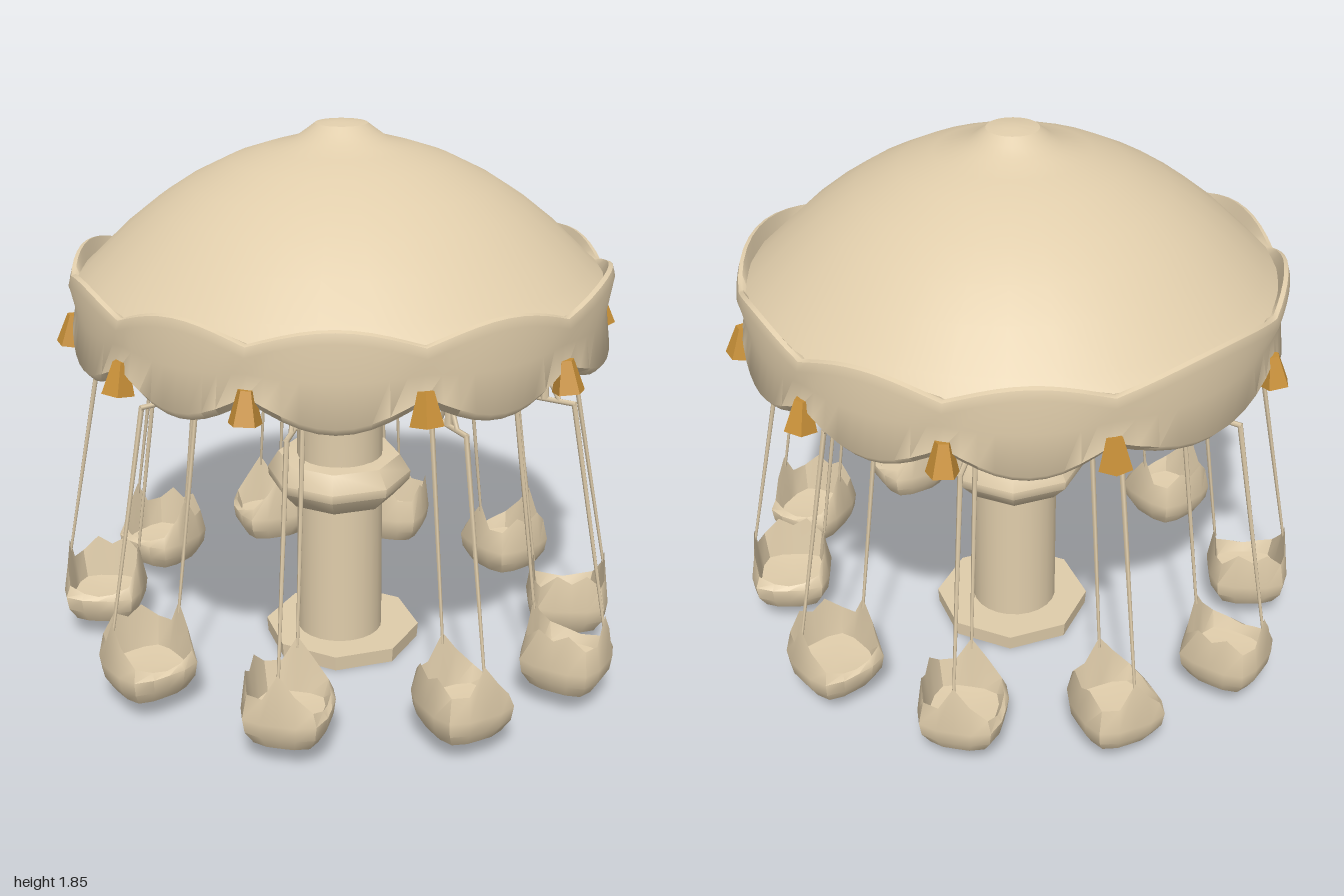
import * as THREE from 'three';
import { toCreasedNormals } from 'three/addons/utils/BufferGeometryUtils.js';

const tan = new THREE.MeshStandardMaterial({ color: 0xe0cdab });
tan.name = 'sandstone';
const amber = new THREE.MeshStandardMaterial({ color: 0xc89038 });
amber.name = 'amber';

const RAD = Math.PI / 180;
const V = (x, y, z) => new THREE.Vector3(x, y, z);

function add(parent, name, geometry, material = tan) {
  const mesh = new THREE.Mesh(geometry, material);
  mesh.name = name;
  parent.add(mesh);
  return mesh;
}

// Skin around the y axis: at(i, angle, j) gives [radius, y] for ring i
function skin(rings, angles, at, crease) {
  const n = angles.length, pos = [], idx = [];
  for (let i = 0; i < rings; i++) {
    angles.forEach((a, j) => {
      const [r, y] = at(i, a, j);
      pos.push(Math.cos(a) * r, y, Math.sin(a) * r);
    });
  }
  for (let i = 0; i < rings - 1; i++) {
    for (let j = 0; j < n; j++) {
      const k = (j + 1) % n;
      const a = i * n + j, b = a + n, c = (i + 1) * n + k, d = i * n + k;
      idx.push(a, b, d, b, c, d);
    }
  }
  const g = new THREE.BufferGeometry();
  g.setAttribute('position', new THREE.Float32BufferAttribute(pos, 3));
  g.setIndex(idx);
  return toCreasedNormals(g, crease);
}

const lathe = (points, sides) =>
  new THREE.LatheGeometry(points.map(([r, y]) => new THREE.Vector2(r, y)), sides);

// Straight rod between two points
function rod(parent, name, a, b, r0, r1 = r0) {
  const mesh = add(parent, name, new THREE.CylinderGeometry(r1, r0, a.distanceTo(b), 5));
  mesh.position.copy(a).lerp(b, 0.5);
  mesh.quaternion.setFromUnitVectors(V(0, 1, 0), b.clone().sub(a).normalize());
}

// Where neighbouring valance panels meet, in degrees from +x towards +z
const JOINTS = [13, 47, 80.5, 111, 146, 180, 227, 259, 291, 325];

// Swings: angle, seat radius
const SWINGS = [
  [3, 0.86], [35, 0.81], [75, 0.77], [116, 0.79], [157, 0.85],
  [189, 0.86], [222, 0.81], [258, 0.77], [296, 0.78], [334, 0.8],
];

function seatGeometry() {
  const N = 16;
  const angles = Array.from({ length: N }, (_, j) => (j / N) * Math.PI * 2);
  // Rim height: peaks at both arms (0, 8), a pointed back (3..5), low front (12)
  const rim = [0.34, 0.25, 0.25, 0.3, 0.27, 0.3, 0.25, 0.25,
    0.34, 0.27, 0.21, 0.19, 0.18, 0.19, 0.21, 0.27];
  return skin(7, angles, (i, a, j) => {
    // Rounded square outline
    const q = 1 / Math.pow(Math.cos(a) ** 4 + Math.sin(a) ** 4, 0.25);
    return [
      [0, 0.068], [0.106 * q, 0.075], [0.132 * q, 0.12], [0.139 * q, 0.17],
      [0.124 * q, rim[j]], [0.108 * q, 0.15], [0, 0.14],
    ][i];
  }, 0.8);
}

function createSwing(angle, seatR, geometry) {
  const g = new THREE.Group();
  g.name = 'swing';
  g.rotation.y = -angle * RAD;
  add(g, 'seat', geometry).position.x = seatR;
  const barR = seatR - 0.12;
  // Hanger with a radial crossbar
  rod(g, 'hangerStem', V(barR, 1.04, 0), V(barR, 1.185, 0), 0.015, 0.007);
  rod(g, 'crossbar', V(barR - 0.105, 1.04, 0), V(barR + 0.105, 1.04, 0), 0.009);
  for (const s of [-1, 1]) {
    rod(g, 'hangerBrace', V(barR + s * 0.05, 1.04, 0), V(barR, 1.13, 0), 0.008);
    rod(g, 'rope', V(seatR + s * 0.122, 0.3, 0), V(barR + s * 0.1, 1.04, 0), 0.005, 0.009);
  }
  return g;
}

export function createModel() {
  const model = new THREE.Group();
  model.name = 'swingCarousel';

  // Octagonal foot plate
  const base = add(model, 'base', toCreasedNormals(
    new THREE.CylinderGeometry(0.272, 0.268, 0.052, 8), 0.5));
  base.position.set(-0.002, 0.026, -0.01);
  base.rotation.y = Math.PI / 8;

  // Column flaring into the ceiling under the canopy
  add(model, 'column', lathe([
    [0.149, 0.04], [0.148, 0.6], [0.146, 1.09], [0.165, 1.13], [0.25, 1.18],
  ], 24)).position.x = -0.007;
  add(model, 'ceiling', lathe([[0.2, 1.175], [0.5, 1.18], [0.85, 1.2]], 40));

  // Faceted collar halfway up the column
  const collar = add(model, 'collar', toCreasedNormals(lathe([
    [0.13, 0.555], [0.19, 0.555], [0.245, 0.615], [0.248, 0.645], [0.21, 0.705], [0.13, 0.71],
  ], 8), 0.9));
  collar.position.x = -0.01;
  collar.rotation.y = Math.PI / 8;

  // Domed roof with a small cap
  add(model, 'roof', toCreasedNormals(lathe([
    [0.862, 1.36], [0.81, 1.41], [0.7, 1.515], [0.6, 1.595], [0.5, 1.66], [0.36, 1.73],
    [0.25, 1.767], [0.15, 1.795], [0.115, 1.82], [0.085, 1.843], [0.04, 1.85], [0, 1.853],
  ], 32), 0.5));

  // Scalloped valance of ten panels
  const STEPS = 10, angles = [], bulge = [];
  JOINTS.forEach((start, k) => {
    const end = k < 9 ? JOINTS[k + 1] : JOINTS[0] + 360;
    for (let s = 0; s < STEPS; s++) {
      angles.push((start + (end - start) * s / STEPS) * RAD);
      bulge.push(Math.sin(Math.PI * s / STEPS));
    }
  });
  add(model, 'valance', skin(9, angles, (i, a, j) => {
    const top = 1.365 + 0.055 * bulge[j], low = 1.19 - 0.085 * bulge[j];
    return [
      [0.845, 1.3], [0.845, low + 0.02], [0.863, low], [0.885, low + 0.025],
      [0.87, (low + top) / 2], [0.89, top - 0.035], [0.882, top - 0.005],
      [0.868, top], [0.852, 1.36],
    ][i];
  }, 0.9));

  // Amber lamps at the panel joints
  for (const deg of JOINTS) {
    const arm = new THREE.Group();
    arm.name = 'lampMount';
    arm.rotation.y = -deg * RAD;
    const lamp = add(arm, 'lamp', toCreasedNormals(
      new THREE.CylinderGeometry(0.025, 0.052, 0.1, 5), 0.4), amber);
    lamp.position.set(0.885, 1.184, 0);
    lamp.rotation.z = 0.15;
    model.add(arm);
  }

  // Ring of hanging swings
  const seat = seatGeometry();
  for (const [angle, r] of SWINGS) model.add(createSwing(angle, r, seat));

  return model;
}
